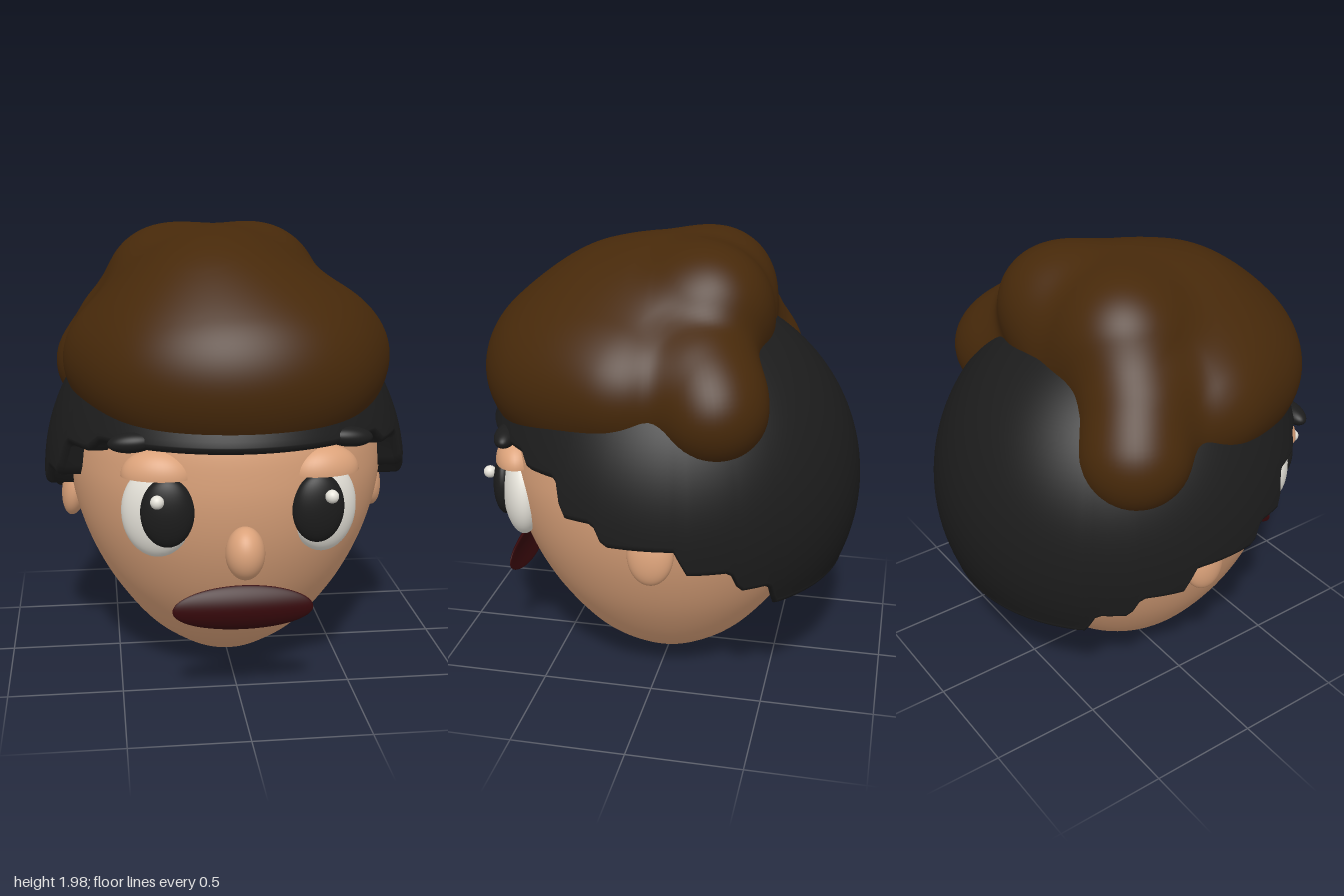
import * as THREE from 'three';

const COLS = 192;

// Closed loops of points stacked from top to bottom, smooth normals
function loopSurface(rows, pointAt) {
  const pos = [], idx = [];
  for (let i = 0; i <= rows; i++)
    for (let j = 0; j < COLS; j++) pos.push(...pointAt(i / rows, (j / COLS) * Math.PI * 2));
  for (let i = 0; i < rows; i++)
    for (let j = 0; j < COLS; j++) {
      const k = (j + 1) % COLS;
      const a = i * COLS + j, b = a + COLS, c = b - j + k, d = i * COLS + k;
      idx.push(a, b, d, b, c, d);
    }
  const g = new THREE.BufferGeometry();
  g.setAttribute('position', new THREE.Float32BufferAttribute(pos, 3));
  g.setIndex(idx);
  g.computeVertexNormals();
  return g;
}

// Masses of the upper hair: centre, radii
const LOCKS = [
  // crown
  [[-0.03, 1.57, -0.04], [0.5, 0.41, 0.41]],
  [[-0.06, 1.55, 0.18], [0.46, 0.4, 0.45]],
  [[-0.24, 1.7, -0.15], [0.28, 0.27, 0.27]],
  [[0.16, 1.7, -0.19], [0.28, 0.27, 0.27]],
  // sides and front
  [[0, 1.42, 0.14], [0.72, 0.43, 0.5]],
  [[0, 1.4, 0.33], [0.63, 0.42, 0.505]],
  // locks behind the ears and their necks
  [[-0.52, 1.33, -0.29], [0.24, 0.24, 0.24]],
  [[-0.42, 1.5, -0.21], [0.23, 0.23, 0.23]],
  [[0.52, 1.38, -0.27], [0.24, 0.23, 0.23]],
  [[0.42, 1.48, -0.2], [0.24, 0.23, 0.24]],
];

function lockDistance(x, y, z) {
  const k = 0.1;
  let best = Infinity;
  for (const [c, r] of LOCKS) {
    const p = [(x - c[0]) / r[0], (y - c[1]) / r[1], (z - c[2]) / r[2]];
    const k0 = Math.hypot(...p);
    const k1 = Math.hypot(p[0] / r[0], p[1] / r[1], p[2] / r[2]) || 1;
    const d = (k0 * (k0 - 1)) / k1;
    if (best === Infinity) { best = d; continue; }
    const h = Math.max(k - Math.abs(best - d), 0) / k;
    best = Math.min(best, d) - (h * h * k) / 4;
  }
  return best;
}

// Upper hair: soft union of the masses, found along rays from its middle
function upperHairPoint(v, a) {
  const o = [0, 1.35, 0.05];
  const s = Math.sin(v * Math.PI);
  const d = [s * Math.sin(a), Math.cos(v * Math.PI), s * Math.cos(a)];
  const at = (r) => o.map((c, i) => c + d[i] * r);
  let r = 1.2;
  for (let i = 0; i < 90; i++) {
    const f = lockDistance(...at(r));
    if (f < 0.0005) break;
    r = Math.max(r - f * 0.6, 0.02);
  }
  return at(r);
}

// Lower hair edge: drops in steps from the fringe to the nape
const STEPS = [[0.53, 0.05], [0.33, 0.15], [0.15, 0.09], [-0.19, 0.11], [-0.41, 0.1], [-0.57, 0.12]];
function hairEdge(a) {
  const z = 0.84 * Math.cos(a);
  return STEPS.reduce((y, [at, drop]) => y - drop * THREE.MathUtils.smoothstep(-z, -at - 0.03, -at + 0.03), 1.14);
}

// Lower hair: domed shell with a rounded lip and an underside
function lowerHairPoint(v, a) {
  const cy = 0.88, R = 0.86, lip = 0.035;
  const edge = hairEdge(a);
  let y = edge, r = Math.sqrt(R * R - (edge + lip - cy) ** 2) - lip;
  let inX = 1, inZ = 1;
  if (v <= 0.75) {
    const t = (v / 0.75) * Math.acos((edge + lip - cy) / R);
    y = cy + R * Math.cos(t);
    r = R * Math.sin(t);
  } else if (v <= 0.92) {
    const t = ((v - 0.75) / 0.17) * Math.PI / 2;
    y += lip * (1 - Math.sin(t));
    r += lip * Math.cos(t);
  } else {
    const t = (v - 0.92) / 0.08;
    inX = 1 - 0.8 * t;
    inZ = 1 - 0.4 * t * THREE.MathUtils.smoothstep(Math.abs(Math.cos(a)), 0.72, 0.9);
  }
  return [r * inX * 0.955 * Math.sin(a), y, r * inZ * Math.cos(a)];
}

export function createModel() {
  const model = new THREE.Group();
  const material = (name, color) => {
    const m = new THREE.MeshStandardMaterial({ color });
    m.name = name;
    return m;
  };
  const skin = material('skin', 0xdba27a);
  const black = material('black', 0x1c1c1c);
  const brown = material('brown', 0x47290a);
  const white = material('white', 0xe6e3da);
  const red = material('darkRed', 0x36080b);

  const add = (name, geometry, mat, pos = [0, 0, 0], scale = [1, 1, 1], rot = [0, 0, 0]) => {
    const m = new THREE.Mesh(geometry, mat);
    m.name = name;
    m.position.set(...pos);
    m.scale.set(...scale);
    m.rotation.set(...rot);
    model.add(m);
  };
  const ball = new THREE.SphereGeometry(1, 40, 28);
  const dome = new THREE.SphereGeometry(1, 40, 14, 0, Math.PI * 2, 0, Math.PI / 2);
  const disc = new THREE.CircleGeometry(1, 40).rotateX(Math.PI / 2);

  // Egg-shaped head
  const profile = new THREE.SplineCurve([
    [0, 0.005], [0.12, 0.025], [0.23, 0.08], [0.38, 0.2], [0.53, 0.4], [0.63, 0.6],
    [0.69, 0.8], [0.71, 1.0], [0.68, 1.2], [0.54, 1.45], [0.3, 1.6], [0, 1.65],
  ].map(([r, y]) => new THREE.Vector2(r, y))).getPoints(70);
  profile.forEach((p) => { p.x = Math.max(p.x, 0); });
  add('head', new THREE.LatheGeometry(profile, 80), skin, [0, 0, 0.01], [1, 1, 1.045]);

  // Hair
  add('lowerHair', loopSurface(60, lowerHairPoint), black);
  add('upperHair', loopSurface(110, upperHairPoint), brown);

  // Nose
  add('nose', ball, skin, [0, 0.723, 0.77], [0.081, 0.111, 0.09]);

  // Mouth: thin curved oval
  const mouth = new THREE.SphereGeometry(1, 48, 32);
  const p = mouth.attributes.position;
  for (let i = 0; i < p.count; i++) {
    const x = p.getX(i), y = p.getY(i), z = p.getZ(i);
    p.setXYZ(i, x * 0.295, y * 0.098, 0.727 + z * 0.018 - 0.03 * y * y - 0.01 * x * x);
  }
  mouth.computeVertexNormals();
  add('mouth', mouth, red, [0, 0.458, 0]);

  // Paired features
  for (const s of [-1, 1]) {
    const side = s > 0 ? 'left' : 'right';
    add(side + 'Eye', ball, white, [s * 0.347, 0.865, 0.62], [0.155, 0.195, 0.085], [0, s * 0.4, s * 0.08]);
    add(side + 'Pupil', ball, black, [s * 0.31, 0.885, 0.705], [0.11, 0.147, 0.055], [0, s * 0.1, 0]);
    add(side + 'Glint', ball, white, [s * 0.354, 0.95, 0.765], [0.028, 0.028, 0.028]);
    const lid = [[s * 0.345, 1.022, 0.635], [0.152, 0.11, 0.095], [0, s * 0.25, 0]];
    add(side + 'Eyelid', dome, skin, ...lid);
    add(side + 'EyelidUnderside', disc, skin, ...lid);
    add(side + 'Eyebrow', ball, black, [s * 0.445, 1.168, 0.645], [0.1, 0.042, 0.05], [0, s * 0.1, -s * 0.08]);
    add(side + 'Ear', ball, skin, [s * 0.69, 0.785, -0.045], [0.058, 0.135, 0.1], [0, 0, s * 0.15]);
  }
  return model;
}
